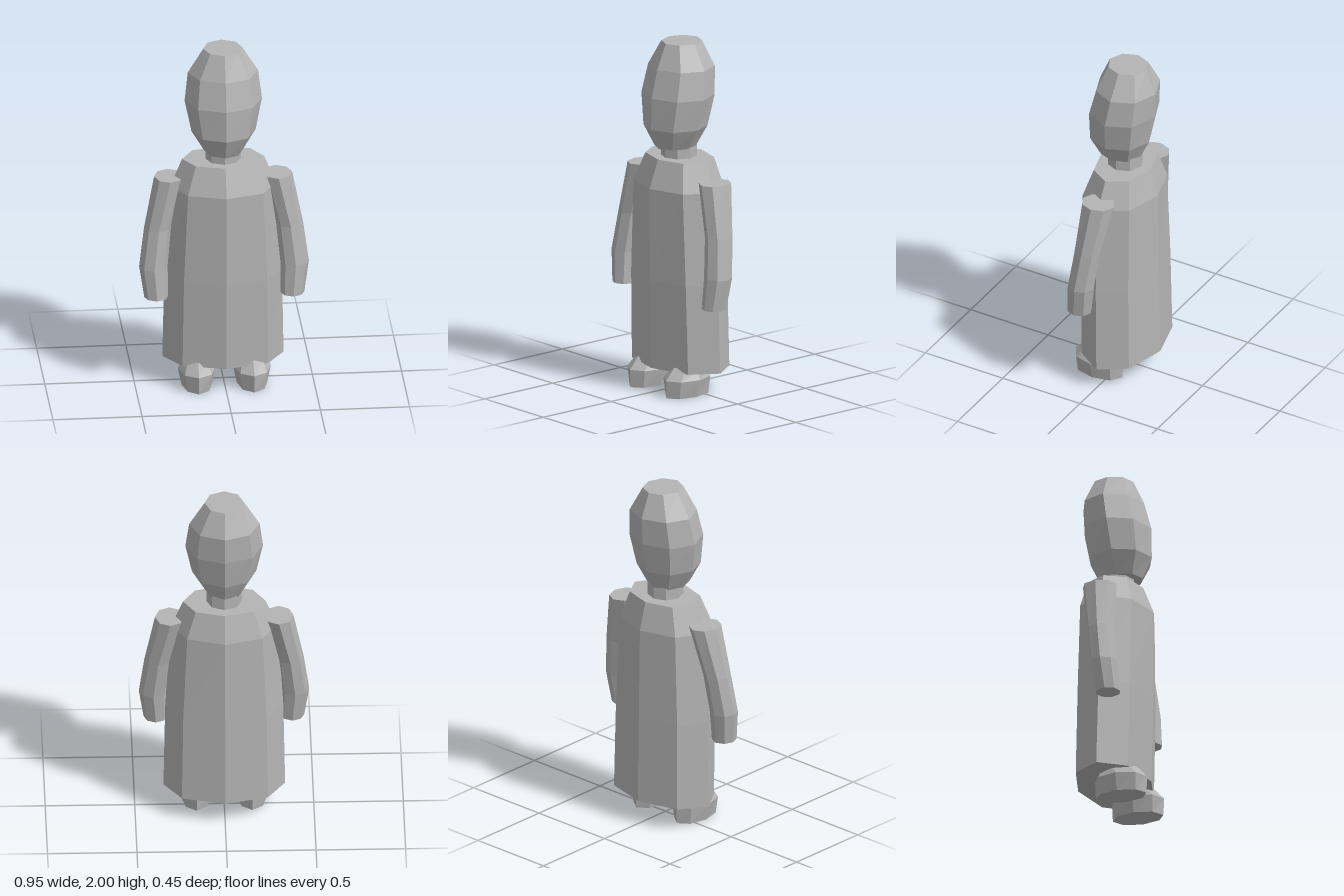
import * as THREE from 'three';

const SIDES = 8;

// Closed faceted loft; rings run bottom to top as [y, cx, cz, rx, rz, forwardTilt]
function loft(rings) {
  const pos = [];
  const point = (r, k) => {
    const [y, cx, cz, rx, rz, tilt = 0] = rings[r];
    const a = (k / SIDES) * Math.PI * 2;
    return [cx + rx * Math.sin(a), y + tilt * Math.cos(a), cz + rz * Math.cos(a)];
  };
  const centre = (r) => [rings[r][1], rings[r][0], rings[r][2]];
  const tri = (a, b, c) => pos.push(...a, ...b, ...c);
  const last = rings.length - 1;
  for (let k = 0; k < SIDES; k++) {
    for (let r = 0; r < last; r++) {
      const a = point(r, k), b = point(r, k + 1), c = point(r + 1, k + 1), d = point(r + 1, k);
      tri(a, b, c);
      tri(a, c, d);
    }
    tri(centre(0), point(0, k + 1), point(0, k));
    tri(centre(last), point(last, k), point(last, k + 1));
  }
  const geo = new THREE.BufferGeometry();
  geo.setAttribute('position', new THREE.Float32BufferAttribute(pos, 3));
  geo.computeVertexNormals(); // unshared corners give flat facets
  return geo;
}

export function createModel() {
  const group = new THREE.Group();
  const grey = new THREE.MeshStandardMaterial({ color: 0xb4b4b4 });
  grey.name = 'plain grey';

  const add = (name, rings) => {
    const mesh = new THREE.Mesh(loft(rings), grey);
    mesh.name = name;
    group.add(mesh);
  };

  // Long robe with sloping shoulders
  add('robe', [
    [0.14, 0, -0.012, 0.34, 0.215],
    [0.65, 0, -0.002, 0.33, 0.217],
    [1.18, 0, 0.003, 0.298, 0.213],
    [1.34, 0, -0.005, 0.23, 0.16],
  ]);

  add('neck', [
    [1.3, 0, 0, 0.1, 0.1],
    [1.45, 0, 0, 0.1, 0.1],
  ]);

  // Egg-shaped head with a flat crown
  add('head', [
    [1.4, 0, 0.027, 0.108, 0.123],
    [1.52, 0, 0.026, 0.18, 0.179],
    [1.7, 0, 0.007, 0.217, 0.195],
    [1.86, 0, -0.018, 0.197, 0.178],
    [2.0, 0, -0.02, 0.11, 0.118],
  ]);

  for (const [side, s] of [['left', 1], ['right', -1]]) {
    // Arm curving outward and forward
    add(side + 'Arm', [
      [0.54, s * 0.382, 0.071, 0.067, 0.071],
      [0.72, s * 0.396, 0.053, 0.08, 0.077],
      [0.945, s * 0.37, 0.026, 0.076, 0.078],
      [1.24, s * 0.304, -0.003, 0.083, 0.098],
    ]);
    // Foot with a raised instep
    add(side + 'Foot', [
      [0, s * 0.155, 0.075, 0.085, 0.148],
      [0.1, s * 0.155, 0.075, 0.106, 0.153],
      [0.145, s * 0.155, 0.05, 0.08, 0.118, 0.023],
    ]);
  }
  return group;
}
